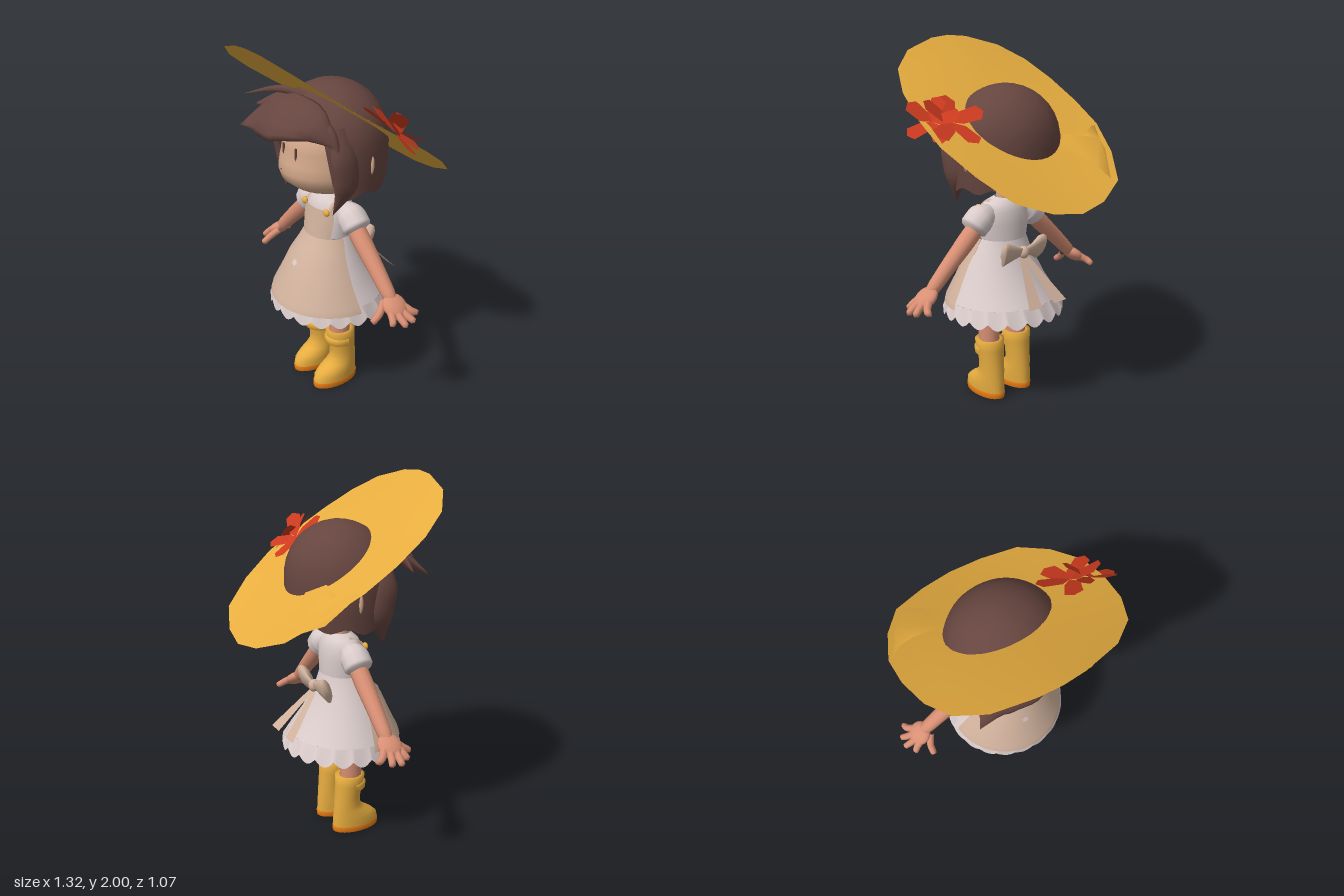
import * as THREE from 'three';
import { mergeVertices } from 'three/addons/utils/BufferGeometryUtils.js';

const mat = (name, color, double) => {
  const m = new THREE.MeshStandardMaterial({ color });
  m.name = name;
  if (double) m.side = THREE.DoubleSide;
  return m;
};

export function createModel() {
  const model = new THREE.Group();
  model.name = 'girl';
  const M = {
    hair: mat('hair brown', 0x66453f, true),
    face: mat('face skin', 0xd0a588),
    skin: mat('limb skin', 0xd88f74),
    white: mat('dress white', 0xd9cbca, true),
    apron: mat('apron tan', 0xd0b19c, true),
    yellow: mat('straw yellow', 0xe6ac3f, true),
    sole: mat('sole orange', 0xe67a12),
    red: mat('flower red', 0xcc3a1f, true),
  };
  const add = (name, geo, material, parent = model) => {
    const m = new THREE.Mesh(geo, material);
    m.name = name;
    parent.add(m);
    return m;
  };

  // Surface over an angle range a (0 = front, towards +x) and rows t going up
  const grid = (seg, rows, fn, a0 = 0, a1 = Math.PI * 2) => {
    const pos = [], idx = [];
    for (let i = 0; i <= rows; i++)
      for (let j = 0; j <= seg; j++) pos.push(...fn(a0 + ((a1 - a0) * j) / seg, i / rows));
    for (let i = 0; i < rows; i++)
      for (let j = 0; j < seg; j++) {
        const p = i * (seg + 1) + j, q = p + seg + 1;
        idx.push(p, p + 1, q, p + 1, q + 1, q);
      }
    let g = new THREE.BufferGeometry();
    g.setAttribute('position', new THREE.Float32BufferAttribute(pos, 3));
    g.setIndex(idx);
    g = mergeVertices(g, 1e-5);
    g.computeVertexNormals();
    return g;
  };
  // Stack of horizontal ellipses: [y, centre z, rx, rz]
  const loft = (rings, seg = 24, { a0, a1, cx = 0, grow = 0, hem } = {}) =>
    grid(seg, rings.length - 1, (a, t) => {
      const i = Math.round(t * (rings.length - 1)), [y, z, rx, rz] = rings[i];
      return [cx + (rx + grow) * Math.sin(a), y + (hem && i === 0 ? hem(a) : 0), z + (rz + grow) * Math.cos(a)];
    }, a0, a1);
  // Tube of varying radius through [x, y, z, radius]; flat scales it in z, lean pushes its lower side forward
  const sweep = (pts, s = 1, { flat = 1, lean = 0, sides = 12, seg = 16 } = {}) => {
    const curve = new THREE.CatmullRomCurve3(pts.map((p) => new THREE.Vector3(p[0] * s, p[1], p[2])));
    let g = new THREE.TubeGeometry(curve, seg, 1, sides);
    const P = g.attributes.position, v = new THREE.Vector3();
    for (let i = 0; i < P.count; i++) {
      const u = Math.floor(i / (sides + 1)) / seg, c = curve.getPointAt(u);
      const k = curve.getUtoTmapping(u) * (pts.length - 1), n = Math.min(Math.floor(k), pts.length - 2);
      const r = THREE.MathUtils.lerp(pts[n][3], pts[n + 1][3], k - n);
      v.fromBufferAttribute(P, i).sub(c).multiplyScalar(r);
      v.z = v.z * flat - v.y * lean;
      v.add(c);
      P.setXYZ(i, v.x, v.y, v.z);
    }
    g.deleteAttribute('uv');
    g.deleteAttribute('normal');
    g = mergeVertices(g, 1e-5);
    g.computeVertexNormals();
    return g;
  };
  const ball = (name, material, p, sx, sy, sz) => {
    const m = add(name, new THREE.SphereGeometry(1, 16, 12), material);
    m.position.set(...p);
    m.scale.set(sx, sy, sz);
    return m;
  };

  // Head and neck
  add('head', loft([
    [1.2, 0.1, 0, 0], [1.205, 0.1, 0.1, 0.1], [1.235, 0.09, 0.19, 0.18], [1.28, 0.09, 0.23, 0.235],
    [1.33, 0.09, 0.24, 0.25], [1.38, 0.09, 0.235, 0.24], [1.45, 0.09, 0.23, 0.22], [1.55, 0.09, 0.22, 0.21], [1.65, 0.09, 0, 0],
  ], 28), M.face);
  add('neck', loft([[1.08, 0.06, 0.045, 0.045], [1.25, 0.06, 0.04, 0.04]], 14), M.face);
  for (const s of [1, -1]) {
    ball('ear', M.face, [s * 0.285, 1.4, 0.015], 0.024, 0.06, 0.014);
    add('eye', new THREE.BoxGeometry(0.009, 0.07, 0.008), M.hair).position.set(s * 0.055, 1.44, 0.309);
  }
  add('mouth', new THREE.BoxGeometry(0.015, 0.004, 0.008), M.hair).position.set(-0.045, 1.34, 0.331);

  // Bobbed hair: high edge over the face, low edge round the sides and back
  const hairEdge = (a) => {
    const d = Math.abs(Math.atan2(Math.sin(a), Math.cos(a)));
    const k = THREE.MathUtils.smoothstep(d, 0.72, 1.0);
    return THREE.MathUtils.lerp(1.57, 1.22 + 0.014 * d + 0.015 * Math.sin(9 * a), k);
  };
  add('hairCap', grid(48, 12, (a, t) => {
    const b = hairEdge(a), y = b + (1.775 - b) * Math.sin((t * Math.PI) / 2);
    const r = y > 1.48 ? Math.sqrt(Math.max(0, 1 - ((y - 1.48) / 0.295) ** 2)) : 1 - 0.9 * (1.48 - y) ** 2;
    return [0.303 * r * Math.sin(a), y, 0.045 + 0.285 * r * Math.cos(a)];
  }), M.hair);
  for (const s of [1, -1])
    add('sideLock', sweep([[0.22, 1.6, 0.16, 0.03], [0.267, 1.45, 0.165, 0.042], [0.262, 1.3, 0.15, 0.04], [0.215, 1.14, 0.2, 0]], s, { flat: 1.9 }), M.hair);
  const strands = {
    fringe: [0.8, [0.25, 1.55, 0.23, 0.02], [0.14, 1.62, 0.28, 0.08], [-0.05, 1.615, 0.315, 0.11], [-0.2, 1.58, 0.33, 0.085], [-0.33, 1.51, 0.4, 0]],
    fringeTip: [0.4, [0, 1.65, 0.27, 0.06], [-0.18, 1.62, 0.29, 0.07], [-0.34, 1.53, 0.3, 0]],
    fringeShort: [0, [0.08, 1.64, 0.26, 0.06], [0.22, 1.57, 0.22, 0.05], [0.29, 1.41, 0.2, 0]],
    topStrand: [0, [0.02, 1.7, 0.18, 0.02], [-0.13, 1.73, 0.27, 0.02], [-0.31, 1.68, 0.39, 0]],
    lowStrand: [0.4, [0, 1.67, 0.22, 0.05], [-0.16, 1.66, 0.27, 0.045], [-0.32, 1.61, 0.31, 0]],
  };
  for (const n in strands) {
    const [lean, ...path] = strands[n];
    add(n, sweep(path, 1, { flat: 0.6, lean }), M.hair);
  }

  // Tilted, slightly warped sun hat brim with a folded patch
  const brimY = (x, z) => 1.595 + z * (0.765 - 0.12 * (x / 0.55) ** 2);
  const rim = [[0, 0.53], [0.12, 0.52], [0.315, 0.47], [0.445, 0.375], [0.515, 0.235], [0.547, 0.06], [0.545, -0.11], [0.475, -0.29], [0.365, -0.44], [0.18, -0.51], [0, -0.535]];
  add('hatBrim', grid(20, 3, (a, t) => {
    const k = Math.round(a), [rx, rz] = rim[k > 10 ? 20 - k : k];
    const r = 1 - 0.72 * t, x = (k > 10 ? -rx : rx) * r, z = rz * r;
    return [x, brimY(x, z), z];
  }, 0, 20), M.yellow);
  const fold = [
    [[-0.52, -0.12, 0], [-0.47, -0.28, -0.035], [-0.33, -0.42, 0]],
    [[-0.46, -0.15, 0.03], [-0.42, -0.25, 0.05], [-0.28, -0.36, 0.03]],
    [[-0.38, -0.175, 0.015], [-0.24, -0.15, 0.02], [-0.14, -0.22, 0.02]],
  ];
  add('hatFold', grid(2, 2, (a, t) => {
    const [x, z, lift] = fold[Math.round(t * 2)][Math.round(a)];
    return [x, brimY(x, z) + lift, z];
  }, 0, 2), M.yellow);

  // Red flowers on the brim, the outer one drooping over the edge
  const petal = new THREE.ShapeGeometry(new THREE.Shape(
    [[0, 0], [0.03, 0.04], [0.045, 0.12], [0.01, 0.15], [-0.03, 0.135], [-0.035, 0.05]].map((p) => new THREE.Vector2(...p))));
  for (const [x, z, lift, size, turn, droop] of [[0.4, -0.01, 0.03, 1.2, 0.35, 0], [0.49, 0.03, 0.01, 1.0, -0.1, -0.45]]) {
    const flower = new THREE.Group();
    flower.name = 'flower';
    flower.position.set(x, brimY(x, z) + lift, z);
    flower.rotation.set(-0.65, 0, droop);
    flower.scale.setScalar(size);
    for (let i = 0; i < 5; i++)
      add('petal', petal, M.red, flower).rotation.set(-Math.PI / 2 + (i % 2 ? 0.35 : 0.1), (i * 2 * Math.PI) / 5 + turn, 0, 'YXZ');
    model.add(flower);
  }

  // Dress: white back panel, scalloped hem all round, bodice
  const skirt = [[0.54, 0.066, 0.345, 0.333], [0.6, 0.076, 0.312, 0.302], [0.7, 0.088, 0.257, 0.24], [0.8, 0.09, 0.208, 0.193], [0.88, 0.08, 0.165, 0.147], [0.94, 0.07, 0.138, 0.122]];
  const bodice = [[0.94, 0.07, 0.138, 0.122], [1.03, 0.062, 0.15, 0.115], [1.1, 0.06, 0.15, 0.105], [1.14, 0.06, 0.12, 0.085], [1.165, 0.06, 0.05, 0.055]];
  add('skirtHem', loft(skirt.slice(0, 2), 160, { hem: (a) => -0.035 * Math.abs(Math.sin(10 * a)) }), M.white);
  add('skirtBack', loft(skirt.slice(1), 36, { a0: 1.45, a1: Math.PI * 2 - 1.45 }), M.white);
  add('bodice', loft(bodice, 28), M.white);

  // Apron, shoulder tabs, buttons and badge
  add('apronSkirt', loft([[0.567, 0.071, 0.322, 0.317], ...skirt.slice(1)], 32, { a0: -1.5, a1: 1.5, grow: 0.008 }), M.apron);
  add('apronBib', loft(bodice.slice(0, 3), 16, { a0: -0.95, a1: 0.95, grow: 0.01 }), M.apron);
  for (const s of [1, -1]) {
    add('shoulderTab', sweep([[0.1, 1.08, 0.14, 0.014], [0.095, 1.13, 0.105, 0.014], [0.09, 1.145, 0.06, 0.012]], s, { sides: 8 }), M.apron);
    ball('button', M.yellow, [s * 0.1, 1.095, 0.158], 0.022, 0.02, 0.014);
  }
  const badge = add('badge', new THREE.CircleGeometry(0.02, 5), M.white);
  badge.position.set(0, 0.8, 0.299);
  badge.rotation.x = -0.45;

  // Back bow
  ball('bowKnot', M.apron, [0, 0.88, -0.105], 0.03, 0.035, 0.03);
  for (const s of [1, -1]) {
    add('bowLoop', sweep([[0, 0.88, -0.1, 0.02], [0.06, 0.885, -0.105, 0.04], [0.13, 0.885, -0.09, 0.08], [0.15, 0.88, -0.085, 0]], s, { flat: 0.45, lean: 0.35 }), M.apron);
    add('bowTail', grid(1, 4, (a, t) => [
      s * (0.09 - 0.075 * t) + a * (0.045 - 0.027 * t), 0.63 + 0.22 * t, -0.3 + 0.19 * t,
    ], -1, 1), M.apron);
  }

  for (const s of [1, -1]) {
    // Sleeve, arm and hand
    add('sleeve', sweep([[0.1, 1.09, 0.055, 0.05], [0.17, 1.07, 0.05, 0.08], [0.225, 1.025, 0.05, 0.078], [0.235, 1.015, 0.05, 0.045]], s), M.white);
    add('arm', sweep([[0.18, 1.05, 0.05, 0.05], [0.28, 0.955, 0.05, 0.05], [0.4, 0.845, 0.05, 0.043], [0.5, 0.75, 0.05, 0.037], [0.53, 0.725, 0.05, 0.02]], s), M.skin);
    const palm = ball('palm', M.skin, [s * 0.545, 0.712, 0.05], 0.072, 0.034, 0.068);
    palm.rotation.z = -s * 0.65;
    const fingers = [[0.58, 0.695, 0.005, 0.603, 0.662, -0.05], [0.585, 0.69, 0.033, 0.645, 0.655, 0.005], [0.585, 0.69, 0.065, 0.65, 0.65, 0.06], [0.575, 0.695, 0.09, 0.612, 0.655, 0.115], [0.515, 0.715, 0.085, 0.53, 0.65, 0.18]];
    for (const [x, y, z, X, Y, Z] of fingers)
      add('finger', sweep([[x - 0.02, y + 0.01, z, 0.021], [(x + X) / 2, (y + Y) / 2, (z + Z) / 2, 0.02], [X, Y, Z, 0.017], [X + 0.008, Y - 0.006, Z, 0]], s, { sides: 8, seg: 9 }), M.skin);

    // Leg and bloomers
    const cx = s * 0.1;
    add('leg', loft([[0.2, 0.075, 0.05, 0.055], [0.36, 0.075, 0.057, 0.062], [0.75, 0.075, 0.06, 0.065]], 16, { cx }), M.skin);
    add('bloomers', loft([[0.55, 0.075, 0.082, 0.085], [0.66, 0.075, 0.09, 0.1], [0.8, 0.075, 0.08, 0.09]], 48,
      { cx, hem: (a) => -0.012 * Math.abs(Math.sin(8 * a)) }), M.white);

    // Rain boot with a band across the front
    add('boot', loft([
      [0.035, 0.107, 0.074, 0.14], [0.07, 0.105, 0.076, 0.137], [0.1, 0.09, 0.074, 0.12], [0.13, 0.068, 0.07, 0.095],
      [0.16, 0.053, 0.067, 0.078], [0.22, 0.055, 0.069, 0.075], [0.29, 0.064, 0.076, 0.08], [0.345, 0.07, 0.083, 0.085], [0.345, 0.07, 0.058, 0.06],
    ], 24, { cx }), M.yellow);
    add('bootBand', loft([[0.258, 0.064, 0.072, 0.076], [0.266, 0.068, 0.082, 0.09], [0.298, 0.07, 0.085, 0.092], [0.306, 0.068, 0.076, 0.08]], 16,
      { cx, a0: -1.6, a1: 1.6 }), M.yellow);
    add('bootSole', loft([[0, 0.107, 0, 0], [0, 0.107, 0.069, 0.134], [0.004, 0.107, 0.075, 0.142], [0.034, 0.107, 0.077, 0.144], [0.038, 0.107, 0.07, 0.13]], 24, { cx }), M.sole);
  }
  return model;
}
